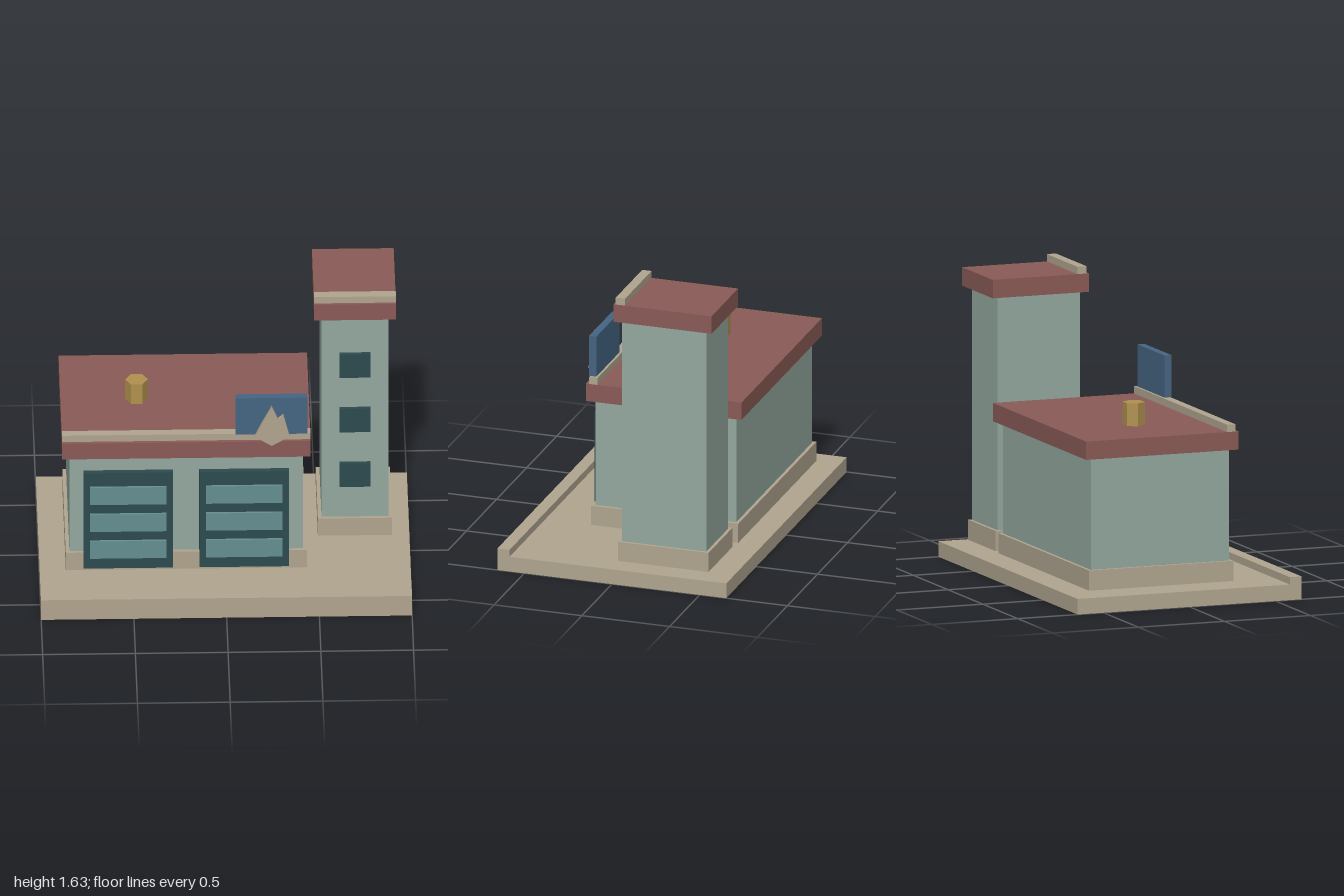
import * as THREE from 'three';

function mat(name, color) {
  const m = new THREE.MeshStandardMaterial({ color });
  m.name = name;
  return m;
}

export function createModel() {
  const root = new THREE.Group();
  root.name = 'fireStation';
  const stone = mat('tan stone', 0xb0a58e);
  const brick = mat('brick red', 0x8a5a56);
  const wall = mat('sage wall', 0x93a89e);
  const dark = mat('dark teal', 0x2c4a4e);
  const pane = mat('pale teal', 0x658f92);
  const blue = mat('sign blue', 0x456482);
  const gold = mat('ochre', 0xb0904e);

  // Box given by its extents on each axis
  function box(name, material, [x0, x1], [y0, y1], [z0, z1], parent = root) {
    const mesh = new THREE.Mesh(new THREE.BoxGeometry(x1 - x0, y1 - y0, z1 - z0), material);
    mesh.position.set((x0 + x1) / 2, (y0 + y1) / 2, (z0 + z1) / 2);
    mesh.name = name;
    parent.add(mesh);
    return mesh;
  }

  // Ground slab with a raised kerb at the front
  box('groundSlab', stone, [-1, 1], [0, 0.085], [-0.652, 0.652]);
  box('frontKerb', stone, [-1, 1], [0.085, 0.125], [0.583, 0.652]);

  // Garage hall
  const hall = new THREE.Group();
  hall.name = 'garageHall';
  root.add(hall);
  box('hallPlinth', stone, [-0.86, 0.44], [0.1, 0.21], [-0.528, 0.312], hall);
  box('hallWalls', wall, [-0.84, 0.42], [0.21, 0.82], [-0.51, 0.293], hall);
  box('hallRoof', brick, [-0.88, 0.46], [0.82, 0.92], [-0.553, 0.333], hall);
  box('hallParapet', stone, [-0.88, 0.46], [0.92, 0.96], [0.267, 0.315], hall);

  // Two garage doors, each with three panels
  for (const x of [-0.523, 0.102]) {
    const door = new THREE.Group();
    door.name = 'garageDoor';
    hall.add(door);
    box('doorLeaf', dark, [x - 0.242, x + 0.242], [0.115, 0.723], [0.293, 0.323], door);
    for (const y of [0.24, 0.411, 0.583]) {
      box('doorPanel', pane, [x - 0.206, x + 0.206], [y - 0.055, y + 0.055], [0.32, 0.336], door);
    }
  }

  // Hexagonal roof vent with corners on the x axis
  const vent = new THREE.Mesh(new THREE.CylinderGeometry(0.061, 0.061, 0.125, 6).toNonIndexed(), gold);
  vent.geometry.computeVertexNormals();
  vent.rotation.y = Math.PI / 6;
  vent.position.set(-0.469, 0.9825, -0.11);
  vent.name = 'roofVent';
  hall.add(vent);

  // Sign board with a flame emblem in front
  box('signBoard', blue, [0.055, 0.442], [0.96, 1.19], [0.28, 0.322], hall);
  const flame = new THREE.Shape([
    [0.25, 0.906], [0.346, 0.965], [0.313, 1.1], [0.283, 1.075],
    [0.25, 1.154], [0.195, 1.045], [0.158, 0.965],
  ].map(([x, y]) => new THREE.Vector2(x, y)));
  const emblem = new THREE.Mesh(
    new THREE.ExtrudeGeometry(flame, { depth: 0.018, bevelEnabled: false }), stone);
  emblem.position.z = 0.339;
  emblem.name = 'flameEmblem';
  hall.add(emblem);

  // Tower
  const tower = new THREE.Group();
  tower.name = 'tower';
  root.add(tower);
  box('towerPlinth', stone, [0.506, 0.905], [0.1, 0.21], [-0.518, -0.002], tower);
  box('towerWalls', wall, [0.526, 0.888], [0.21, 1.487], [-0.5, -0.02], tower);
  box('towerRoof', brick, [0.486, 0.927], [1.487, 1.588], [-0.543, 0.016], tower);
  box('towerParapet', stone, [0.486, 0.927], [1.588, 1.628], [-0.05, 0.003], tower);
  for (const y of [0.486, 0.835, 1.183]) {
    box('towerWindow', dark, [0.624, 0.789], [y - 0.075, y + 0.075], [-0.02, 0], tower);
  }
  return root;
}
